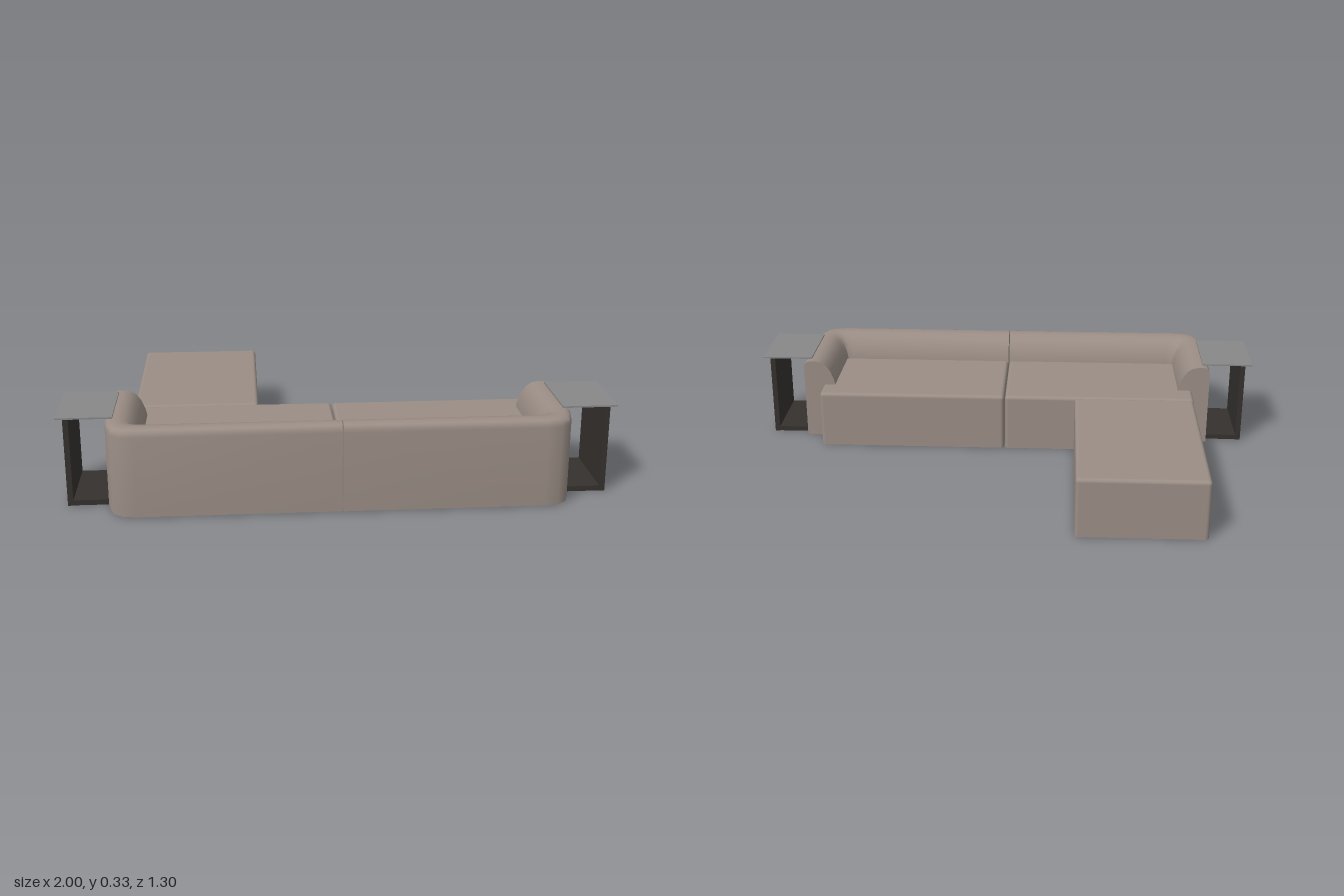
import * as THREE from 'three';
import { toCreasedNormals } from 'three/addons/utils/BufferGeometryUtils.js';
import { RoundedBoxGeometry } from 'three/addons/geometries/RoundedBoxGeometry.js';

const fabric = new THREE.MeshStandardMaterial({ color: 0x9a8d85, side: THREE.DoubleSide });
const darkWood = new THREE.MeshStandardMaterial({ color: 0x34312e });
const tableGrey = new THREE.MeshStandardMaterial({ color: 0x888888 });

function add(group, name, geometry, material) {
  const mesh = new THREE.Mesh(geometry, material);
  mesh.name = name;
  group.add(mesh);
}

// Plain box given by its limits
function boxBetween(x0, x1, y0, y1, z0, z1) {
  return new THREE.BoxGeometry(x1 - x0, y1 - y0, z1 - z0)
    .translate((x0 + x1) / 2, (y0 + y1) / 2, (z0 + z1) / 2);
}

// Upholstered block with soft edges, hollow and open underneath
function cushion(x0, x1, z0, z1, h) {
  const box = new RoundedBoxGeometry(x1 - x0, 2 * h, z1 - z0, 4, 0.014);
  const p = box.attributes.position, n = box.attributes.normal;
  const pos = [], nor = [];
  for (let i = 0; i < p.count; i += 3) {
    if (Math.max(p.getY(i), p.getY(i + 1), p.getY(i + 2)) <= 0) continue;
    for (let k = i; k < i + 3; k++) {
      pos.push(p.getX(k), Math.max(0, p.getY(k)), p.getZ(k));
      nor.push(n.getX(k), n.getY(k), n.getZ(k));
    }
  }
  const g = new THREE.BufferGeometry();
  g.setAttribute('position', new THREE.Float32BufferAttribute(pos, 3));
  g.setAttribute('normal', new THREE.Float32BufferAttribute(nor, 3));
  return g.translate((x0 + x1) / 2, 0, (z0 + z1) / 2);
}

// Half of the wrap-around backrest; side is +1 (left) or -1 (right)
function backrestHalf(side) {
  // Cross-section: fraction from inner to outer face, height
  const profile = [
    [0.08, 0], [0, 0.004], [0, 0.215], [0.06, 0.25], [0.16, 0.282], [0.3, 0.307],
    [0.46, 0.321], [0.64, 0.325], [0.82, 0.325], [0.92, 0.321], [0.98, 0.312], [1, 0.297],
    [1, 0.004], [0.92, 0],
  ];
  // Stations along the run: inner x, z and outer x, z
  const stations = [
    [0.002, 0.52, 0.002, 0.65], [0.67, 0.52, 0.72, 0.65], [0.69, 0.52, 0.77, 0.641],
    [0.698, 0.518, 0.803, 0.615], [0.7, 0.51, 0.818, 0.575], [0.7, 0.49, 0.828, 0.52],
    [0.7, 0.2, 0.828, 0.2],
  ];
  const pos = [], index = [], n = profile.length;
  for (const [ix, iz, ox, oz] of stations)
    for (const [u, y] of profile) pos.push(side * (ix + (ox - ix) * u), y, iz + (oz - iz) * u);
  const tri = (a, b, c) => (side > 0 ? index.push(a, b, c) : index.push(a, c, b));
  for (let s = 0; s < stations.length - 1; s++)
    for (let k = 0; k < n - 1; k++) {
      const a = s * n + k, b = a + n;
      tri(a, a + 1, b + 1);
      tri(a, b + 1, b);
    }
  // Closed front of the arm and seam face
  const last = (stations.length - 1) * n;
  for (let k = 1; k < n - 1; k++) {
    tri(last, last + k, last + k + 1);
    tri(0, k + 1, k);
  }
  const g = new THREE.BufferGeometry();
  g.setAttribute('position', new THREE.Float32BufferAttribute(pos, 3));
  g.setIndex(index);
  return toCreasedNormals(g, 0.75);
}

export function createModel() {
  const model = new THREE.Group();
  model.name = 'sectionalSofa';

  // Seats and the long footrest
  add(model, 'rightSeat', cushion(-0.76, -0.002, 0.1, 0.522, 0.226), fabric);
  add(model, 'leftSeat', cushion(0.002, 0.75, 0.1, 0.522, 0.226), fabric);
  add(model, 'footrest', cushion(-0.757, -0.283, -0.652, 0.098, 0.226), fabric);

  // Dark board running under the sofa from table to table
  add(model, 'baseBoard', boxBetween(-0.972, 0.972, 0.001, 0.02, 0.232, 0.52), darkWood);

  for (const side of [1, -1]) {
    const label = side > 0 ? 'left' : 'right';
    add(model, label + 'Backrest', backrestHalf(side), fabric);

    // Side table: upright panel and thin top
    const table = new THREE.Group();
    table.name = label + 'SideTable';
    const span = (a, b) => (side > 0 ? [a, b] : [-b, -a]);
    add(table, 'uprightPanel', boxBetween(...span(0.953, 0.973), 0, 0.325, 0.232, 0.52), darkWood);
    add(table, 'tableTop', boxBetween(...span(0.8, 1), 0.325, 0.331, 0.23, 0.522), tableGrey);
    model.add(table);
  }
  return model;
}
